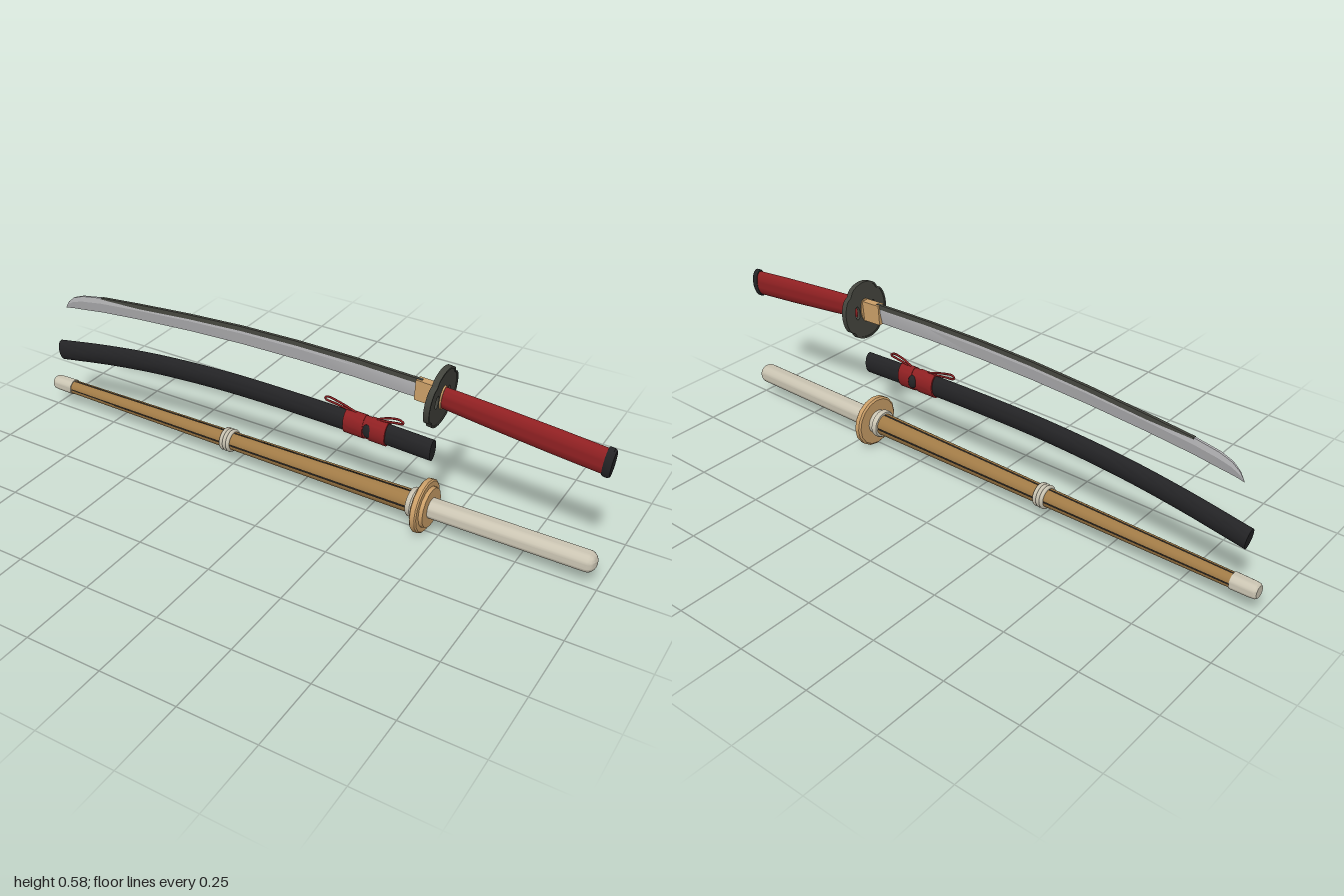
import * as THREE from 'three';
import { toCreasedNormals } from 'three/addons/utils/BufferGeometryUtils.js';

const paint = (name, color) => {
  const m = new THREE.MeshStandardMaterial({ color });
  m.name = name;
  return m;
};

// Skin a list of rings running towards +x; each ring turns from +z up to +y
function loft(rings, crease) {
  const n = rings[0].length, pos = [], idx = [];
  rings.forEach(r => r.forEach(p => pos.push(...p)));
  for (let i = 0; i < rings.length - 1; i++)
    for (let j = 0; j < n; j++) {
      const a = i * n + j, b = i * n + (j + 1) % n;
      idx.push(a, a + n, b, b, a + n, b + n);
    }
  const last = (rings.length - 1) * n;
  for (let j = 1; j < n - 1; j++) {
    idx.push(0, j, j + 1);
    idx.push(last, last + j + 1, last + j);
  }
  const g = new THREE.BufferGeometry();
  g.setAttribute('position', new THREE.Float32BufferAttribute(pos, 3));
  g.setIndex(idx);
  return toCreasedNormals(g, crease);
}

// Elliptical ring, leaning by angle tilt in the xy plane
function ellipse(x, y, h, w, tilt = 0, n = 28) {
  return Array.from({ length: n }, (_, j) => {
    const a = (j / n) * Math.PI * 2, s = Math.sin(a) * h;
    return [x - Math.sin(tilt) * s, y + Math.cos(tilt) * s, Math.cos(a) * w];
  });
}

// Turned part along x from [x, radius] pairs
function turned(points, sides = 24, crease = 0.6) {
  const g = new THREE.LatheGeometry(points.map(([x, r]) => new THREE.Vector2(r, x)), sides);
  return toCreasedNormals(g.rotateZ(-Math.PI / 2), crease);
}

function add(parent, name, geometry, material) {
  const mesh = new THREE.Mesh(geometry, material);
  mesh.name = name;
  parent.add(mesh);
  return mesh;
}

function group(parent, name, x = 0, y = 0, z = 0) {
  const g = new THREE.Group();
  g.name = name;
  g.position.set(x, y, z);
  parent.add(g);
  return g;
}

const curve2 = pts => new THREE.CatmullRomCurve3(pts.map(([x, y]) => new THREE.Vector3(x, y, 0)));

export function createModel() {
  const steel = paint('steel', 0xb2b2b4), black = paint('black lacquer', 0x232325);
  const iron = paint('dark iron', 0x42433c), red = paint('red cloth', 0x8f2022);
  const tan = paint('tan', 0xcb9f68), cream = paint('cream leather', 0xcac4b2);
  const bamboo = paint('bamboo', 0xa07a46);
  const root = new THREE.Group();
  root.name = 'swordSet';

  // ---- Curved sword ----
  const sword = group(root, 'sword', 0, 0, 0.004);

  // Blade stations: x, cutting edge y, spine y
  const stations = [[-0.91, 0.404, 0.407], [-0.895, 0.408, 0.432], [-0.87, 0.412, 0.453],
    [-0.83, 0.417, 0.468], [-0.75, 0.428, 0.482], [-0.6, 0.442, 0.497], [-0.4, 0.456, 0.514],
    [-0.2, 0.465, 0.526], [0, 0.468, 0.531], [0.2, 0.466, 0.53], [0.42, 0.459, 0.523]];
  add(sword, 'blade', loft(stations.map(([x, lo, hi]) => {
    const h = hi - lo, k = Math.min(1, h / 0.05), ridge = lo + h * 0.65;
    return [[x, lo, 0], [x, ridge, 0.007 * k], [x, hi, 0.004 * k], [x, hi, -0.004 * k], [x, ridge, -0.007 * k]];
  }), 0.3), steel);
  add(sword, 'bladeSpine', loft(stations.slice(4).map(([x, , hi], i) => {
    const d = i ? 0.013 : 0.003;
    return [[x, hi - d, 0.0072], [x, hi + 0.001, 0.005], [x, hi + 0.001, -0.005], [x, hi - d, -0.0072]];
  }), 0.3), iron);
  const collar = add(sword, 'bladeCollar', new THREE.BoxGeometry(0.075, 0.066, 0.026), tan);
  collar.position.set(0.44, 0.489, 0);
  collar.rotation.z = -0.05;

  // Grip assembly leans downward towards the pommel
  const grip = group(sword, 'grip', 0.479, 0.486, 0);
  grip.rotation.z = -0.1;
  const lobed = scale => Array.from({ length: 72 }, (_, i) => {
    const a = (i / 72) * Math.PI * 2;
    const off = (a % (Math.PI / 2)) - Math.PI / 4;
    const r = (0.0945 - 0.007 * Math.exp(-((off / 0.13) ** 2))) * scale;
    return new THREE.Vector2(Math.cos(a) * r * 0.965, Math.sin(a) * r);
  });
  const plate = (shape, t) => new THREE.ExtrudeGeometry(shape, { depth: t, bevelEnabled: false, curveSegments: 20 })
    .translate(0, 0, -t / 2).rotateY(Math.PI / 2);
  const guardShape = new THREE.Shape(lobed(0.98));
  for (const s of [-1, 1]) {
    guardShape.holes.push(new THREE.Path().absellipse(s * 0.0365, 0, 0.0105, 0.022, 0, Math.PI * 2, true));
  }
  add(grip, 'guard', plate(guardShape, 0.012), iron);
  const rim = new THREE.Shape(lobed(1));
  rim.holes.push(new THREE.Path(lobed(0.94)));
  add(grip, 'guardRim', plate(rim, 0.018), iron);
  add(grip, 'guardWasher', loft([ellipse(-0.009, 0, 0.039, 0.022), ellipse(0.011, 0, 0.039, 0.022)], 0.6), tan);
  add(grip, 'handle', loft([ellipse(0.004, 0, 0.035, 0.019), ellipse(0.15, 0, 0.039, 0.02),
    ellipse(0.35, 0, 0.042, 0.0205), ellipse(0.5, 0, 0.042, 0.0205)], 0.6), red);
  add(grip, 'pommel', loft([ellipse(0.495, 0, 0.046, 0.022), ellipse(0.5, 0, 0.048, 0.0235),
    ellipse(0.512, 0, 0.048, 0.0235), ellipse(0.518, 0, 0.043, 0.02)], 0.6), black);

  // ---- Scabbard ----
  const scabbard = group(root, 'scabbard', 0, 0, 0.004);
  const spine = curve2([[-0.945, 0.235], [-0.74, 0.27], [-0.53, 0.296], [-0.26, 0.312],
    [0, 0.313], [0.25, 0.307], [0.465, 0.298]]);
  const along = (u, grow = 0) => {
    const p = spine.getPointAt(u), t = spine.getTangentAt(u);
    return ellipse(p.x, p.y, 0.0355 + grow, 0.0205 + grow, Math.atan2(t.y, t.x));
  };
  const span = (u0, u1, n, grow) => Array.from({ length: n + 1 }, (_, i) => along(u0 + (u1 - u0) * i / n, grow));
  add(scabbard, 'scabbardBody', loft(span(0, 1, 40, 0), 0.6), black);

  // Cord wrap in two bands, with the side knob between them
  add(scabbard, 'wrapRear', loft(span(0.795, 0.842, 3, 0.005), 0.6), red);
  add(scabbard, 'wrapFront', loft(span(0.856, 0.895, 3, 0.005), 0.6), red);
  add(scabbard, 'wrapBridge', loft(span(0.838, 0.86, 2, 0.003), 0.6), red);
  for (const [z, r] of [[-0.022, 0.012], [0.021, 0.006]]) {
    const knob = add(scabbard, 'sideKnob', new THREE.SphereGeometry(1, 16, 12), black);
    knob.scale.set(0.015, 0.023, r);
    knob.position.set(0.257, 0.307, z);
  }
  // Loose cord loops standing above the wrap
  const loops = [
    [[0.21, 0.346], [0.16, 0.362], [0.105, 0.371], [0.1, 0.362], [0.14, 0.355], [0.2, 0.346]],
    [[0.28, 0.346], [0.32, 0.362], [0.355, 0.366], [0.368, 0.357], [0.34, 0.352], [0.29, 0.345]]];
  for (const pts of loops)
    add(scabbard, 'cordLoop', new THREE.TubeGeometry(curve2(pts), 32, 0.0035, 6), red);

  // ---- Bamboo practice sword ----
  const practice = group(root, 'practiceSword', 0, 0.088, -0.006);
  const shaftLength = 1.36, shaftMid = -0.25;
  const core = new THREE.CylinderGeometry(0.031, 0.02, shaftLength, 16).rotateZ(-Math.PI / 2);
  add(practice, 'shaftCore', core.translate(shaftMid, 0, 0), black);
  for (let i = 0; i < 4; i++) {
    const slat = new THREE.CylinderGeometry(0.037, 0.0235, shaftLength, 6, 1, true, i * Math.PI / 2 + 0.06, Math.PI / 2 - 0.12);
    add(practice, 'bambooSlat', slat.rotateZ(-Math.PI / 2).translate(shaftMid, 0, 0), bamboo);
  }
  add(practice, 'tipCap', turned([[-1, 0], [-1, 0.019], [-0.994, 0.024], [-0.98, 0.0255],
    [-0.918, 0.0265], [-0.918, 0.02]]), cream);
  // Binding made of three cords
  for (let i = 0; i < 3; i++) {
    const cord = new THREE.TorusGeometry(0.0325, 0.0065, 8, 24).rotateY(Math.PI / 2);
    add(practice, 'bindingCord', cord.translate(-0.277 + i * 0.0125, 0, 0), cream);
  }
  add(practice, 'gripSleeve', turned([[0.4, 0.034], [0.4, 0.044], [0.406, 0.047], [0.416, 0.047],
    [0.42, 0.041], [0.44, 0.041]]), cream);
  // Stepped round guard
  add(practice, 'roundGuard', turned([[0.433, 0.03], [0.433, 0.08], [0.438, 0.0865], [0.453, 0.0865],
    [0.457, 0.082], [0.457, 0.066], [0.469, 0.064], [0.469, 0.03]], 16, 0.5), tan);
  const end = Array.from({ length: 9 }, (_, i) => {
    const a = (i / 8) * Math.PI / 2;
    return [0.962 + 0.028 * Math.sin(a), 0.033 * Math.cos(a)];
  });
  add(practice, 'practiceHandle', turned([[0.42, 0.033], ...end]), cream);

  return root;
}
